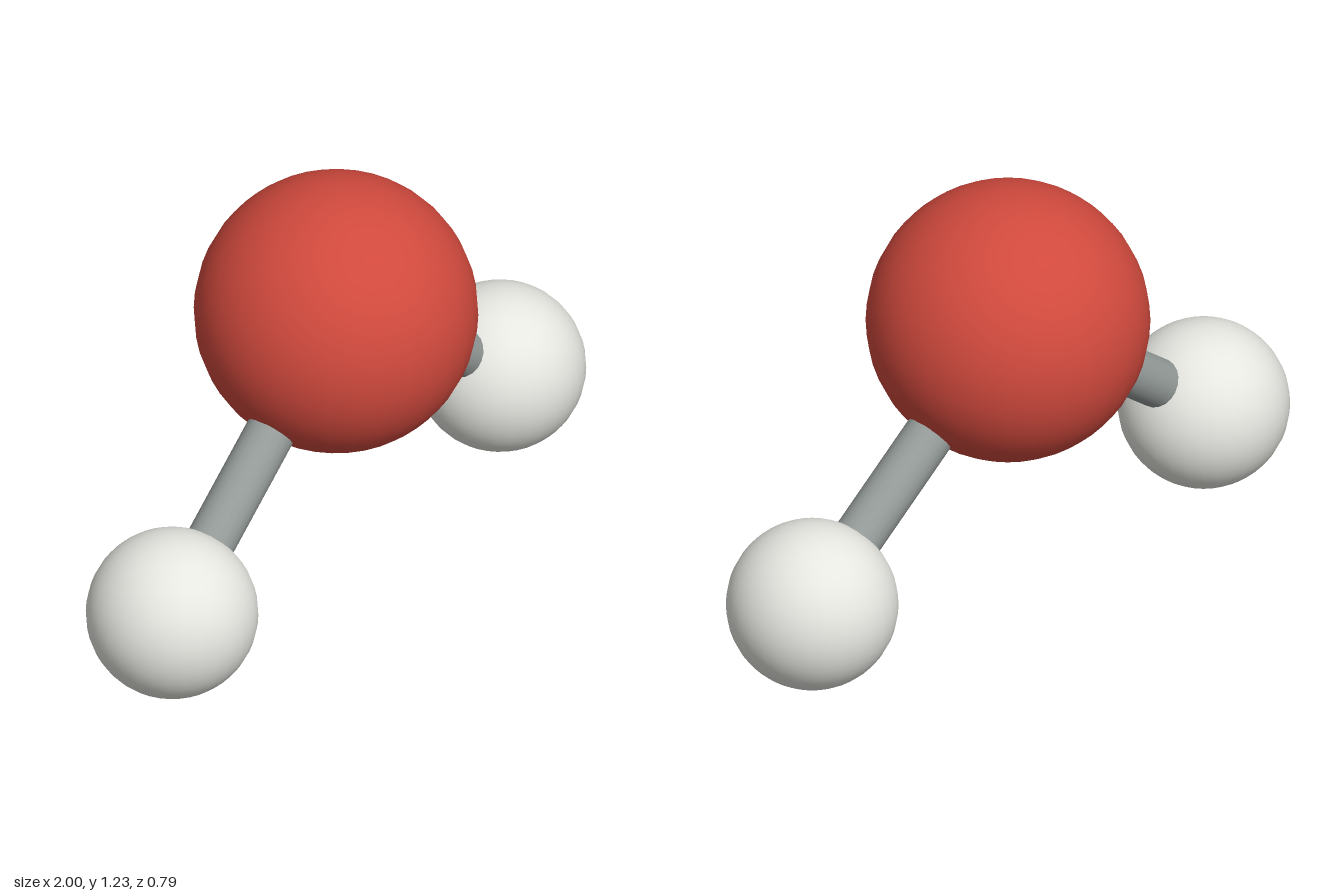
import * as THREE from 'three';

export function createModel() {
  const material = (name, color) => new THREE.MeshStandardMaterial({ name, color });
  const red = material('red', 0xd0493d);
  const white = material('white', 0xe6e6e1);
  const grey = material('grey', 0x949b99);

  const model = new THREE.Group();
  model.name = 'bentMolecule';
  const add = (name, geometry, mat, position) => {
    const mesh = new THREE.Mesh(geometry, mat);
    mesh.name = name;
    mesh.position.copy(position);
    model.add(mesh);
    return mesh;
  };

  // Large central atom
  const centre = new THREE.Vector3(0, 0.833, 0);
  add('centralAtom', new THREE.SphereGeometry(0.394, 32, 24), red, centre);

  // A small atom on each side, joined to the centre by a rod
  const atomGeometry = new THREE.SphereGeometry(0.239, 32, 24);
  for (const [side, sign] of [['left', 1], ['right', -1]]) {
    const end = new THREE.Vector3(sign * 0.761, 0.239, 0);
    add(side + 'Atom', atomGeometry, white, end);

    const direction = end.clone().sub(centre);
    const rod = add(side + 'Bond', new THREE.CylinderGeometry(0.07, 0.07, direction.length(), 20),
      grey, centre.clone().lerp(end, 0.5));
    rod.quaternion.setFromUnitVectors(new THREE.Vector3(0, 1, 0), direction.normalize());
  }
  return model;
}
